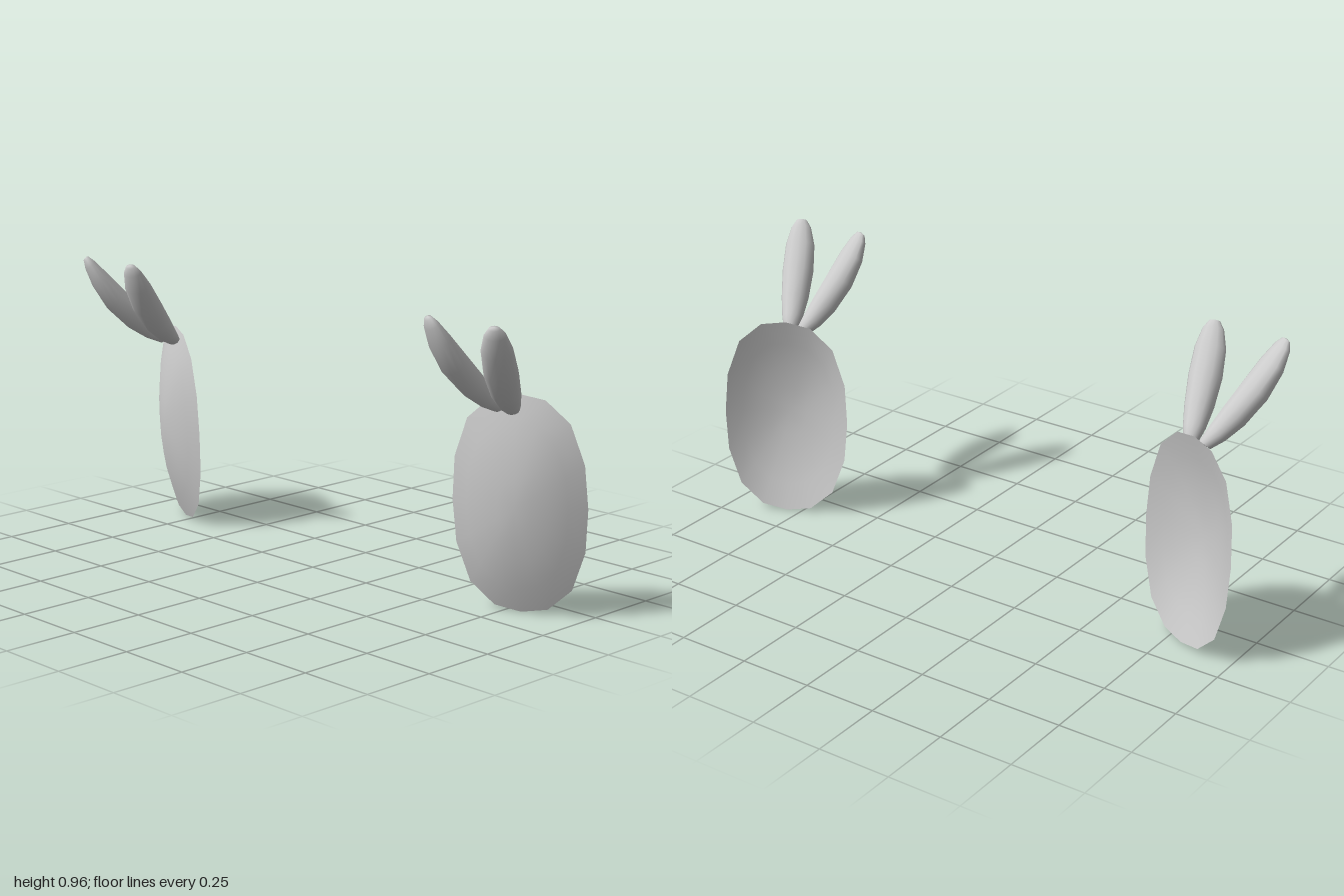
import * as THREE from 'three';
import { mergeVertices } from 'three/addons/utils/BufferGeometryUtils.js';

const material = new THREE.MeshStandardMaterial({ color: 0xcccccc });
const shellMaterial = new THREE.MeshStandardMaterial({ color: 0xcccccc, side: THREE.DoubleSide });

// Ear sections from base to tip: position along, half width, centre depth, half depth
const EAR = [
  [0, 0, 0.022, 0], [0, 0.024, 0.022, 0.02], [0.12, 0.036, 0.033, 0.032],
  [0.3, 0.047, 0.042, 0.042], [0.55, 0.054, 0.044, 0.044], [0.78, 0.05, 0.034, 0.034],
  [0.93, 0.034, 0.022, 0.021], [0.99, 0.018, 0.016, 0.011], [1, 0, 0.014, 0],
];

// Places a mesh at a point with its local y and z along the given directions
function place(mesh, origin, yAxis, zAxis) {
  const y = yAxis.clone().normalize();
  const x = new THREE.Vector3().crossVectors(y, zAxis).normalize();
  const z = new THREE.Vector3().crossVectors(x, y);
  mesh.quaternion.setFromRotationMatrix(new THREE.Matrix4().makeBasis(x, y, z));
  mesh.position.copy(origin);
  return mesh;
}

// Shared vertices give smooth normals over the whole surface
function smooth(geometry) {
  geometry.deleteAttribute('uv');
  geometry.deleteAttribute('normal');
  const merged = mergeVertices(geometry);
  merged.computeVertexNormals();
  return merged;
}

// Oval shell, open at the back, bulging gently towards +z
function padGeometry(halfWidth, halfHeight, depth) {
  const g = new THREE.RingGeometry(0, 1, 16, 4);
  const p = g.attributes.position;
  for (let i = 0; i < p.count; i++) {
    const x = p.getX(i), y = p.getY(i);
    const r = Math.hypot(x, y);
    const fullness = 1 + 0.07 * Math.sin(2 * Math.atan2(y, x)) ** 2;
    p.setXYZ(i, x * fullness * halfWidth, y * fullness * halfHeight, depth * (1 - r * r));
  }
  return smooth(g);
}

// Ear with a straight upper side along y and a full underside towards +z
function earGeometry(length) {
  const rows = EAR.length - 1;
  const g = new THREE.CylinderGeometry(1, 1, 1, 12, rows, true);
  const p = g.attributes.position;
  for (let i = 0; i < p.count; i++) {
    const [along, width, centre, depth] = EAR[Math.round((p.getY(i) + 0.5) * rows)];
    p.setXYZ(i, p.getX(i) * width, along * length, centre + p.getZ(i) * depth);
  }
  return smooth(g);
}

function ear(name, base, tip) {
  const axis = tip.clone().sub(base);
  // underside faces down and away from the base
  const run = Math.hypot(axis.x, axis.z);
  const under = new THREE.Vector3(axis.x * axis.y / run, -run, axis.z * axis.y / run);
  const mesh = new THREE.Mesh(earGeometry(axis.length()), material);
  mesh.name = name;
  return place(mesh, base, axis, under);
}

export function createModel() {
  const model = new THREE.Group();
  for (const s of [1, -1]) {
    const side = new THREE.Group();
    side.name = s > 0 ? 'leftSide' : 'rightSide';

    // pad turned outwards and leaning slightly forwards at the top
    const pad = new THREE.Mesh(padGeometry(0.218, 0.35, 0.062), shellMaterial);
    pad.name = 'pad';
    place(pad, new THREE.Vector3(s * 0.8, 0.35, -0.113),
      new THREE.Vector3(0, 1, 0.05), new THREE.Vector3(s * 0.43, -0.05, 1));

    // two ears spreading forwards from the top of the pad
    side.add(pad,
      ear('outerEar', new THREE.Vector3(s * 0.805, 0.674, -0.068), new THREE.Vector3(s * 0.942, 0.968, 0.178)),
      ear('innerEar', new THREE.Vector3(s * 0.768, 0.674, -0.068), new THREE.Vector3(s * 0.695, 0.968, 0.185)));
    model.add(side);
  }
  return model;
}
